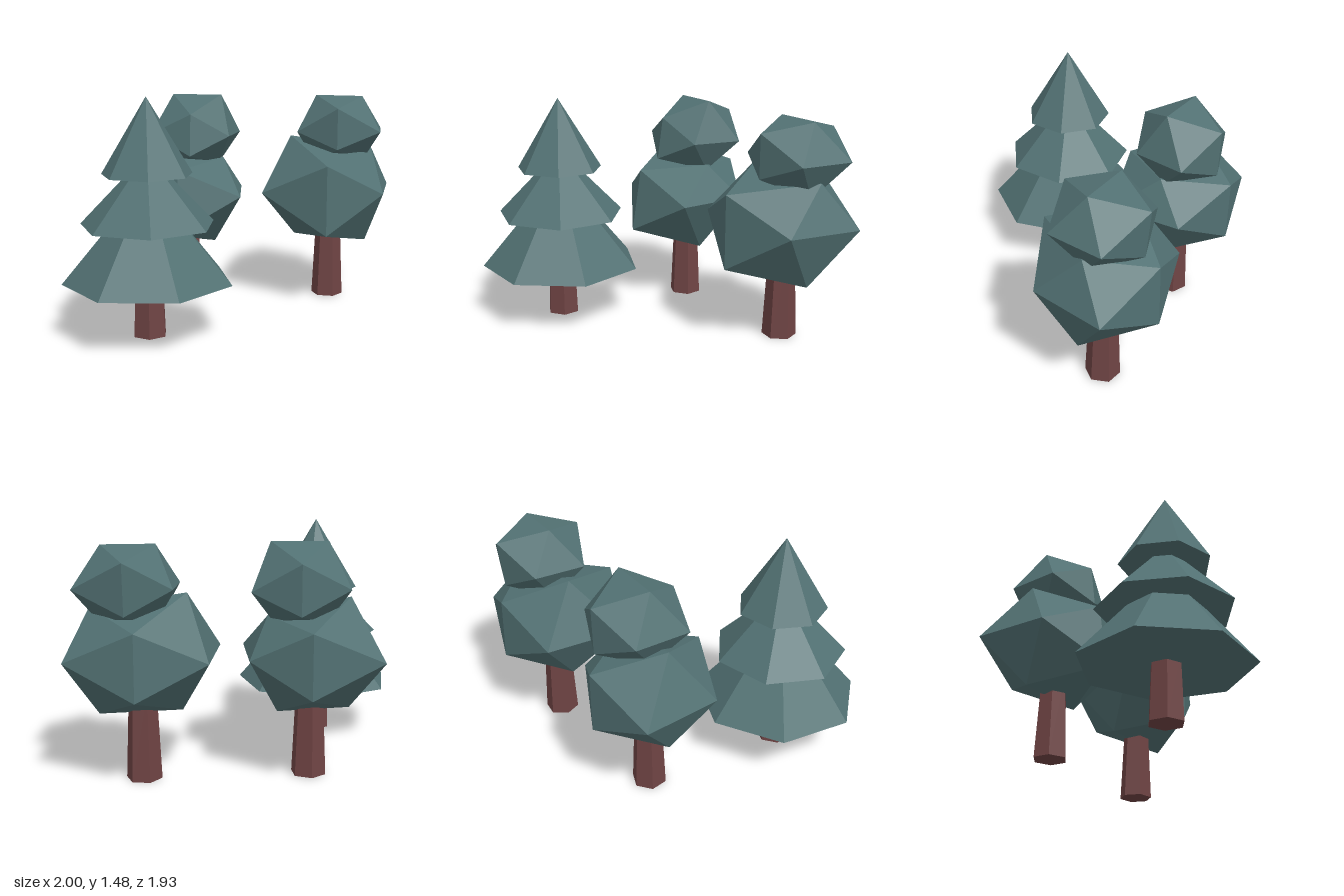
import * as THREE from 'three';
import { ConvexGeometry } from 'three/addons/geometries/ConvexGeometry.js';

const foliage = new THREE.MeshStandardMaterial({ color: 0x527173, flatShading: true });
foliage.name = 'foliage teal';
const bark = new THREE.MeshStandardMaterial({ color: 0x6f4444, flatShading: true });
bark.name = 'bark brown';

function add(parent, name, geometry, material) {
  const mesh = new THREE.Mesh(geometry, material);
  mesh.name = name;
  parent.add(mesh);
  return mesh;
}

// Tapered six-sided trunk standing on the ground
function trunk(parent, x, z, height, topRadius, turn) {
  const mesh = add(parent, 'trunk', new THREE.CylinderGeometry(topRadius, 0.11, height, 6), bark);
  mesh.position.set(x, height / 2, z);
  mesh.rotation.y = THREE.MathUtils.degToRad(turn);
}

// Irregular twelve-cornered, twenty-faced leaf ball
function leafBall(parent, name, corners) {
  const points = corners.map((c) => new THREE.Vector3(...c));
  add(parent, name, new ConvexGeometry(points), foliage);
}

// Conifer: three stacked seven-sided cones
function conifer() {
  const tree = new THREE.Group();
  tree.name = 'conifer';
  const x = -0.497, z = 0.465;
  trunk(tree, x, z, 0.4, 0.095, 10);
  const tiers = [
    ['lowerTier', 0.35, 0.98, 0.533, 185.4],
    ['middleTier', 0.70, 1.14, 0.423, 169],
    ['upperTier', 1.01, 1.48, 0.285, 168],
  ];
  for (const [name, bottom, top, radius, turn] of tiers) {
    const tier = add(tree, name, new THREE.ConeGeometry(radius, top - bottom, 7), foliage);
    tier.position.set(x, (bottom + top) / 2, z);
    tier.rotation.y = THREE.MathUtils.degToRad(turn);
  }
  return tree;
}

// Round tree: a large leaf ball with a smaller one on top
function roundTree(name, x, z, turn, lower, upper) {
  const tree = new THREE.Group();
  tree.name = name;
  trunk(tree, x, z, 0.55, 0.085, turn);
  leafBall(tree, 'lowerCrown', lower);
  leafBall(tree, 'upperCrown', upper);
  return tree;
}

export function createModel() {
  const model = new THREE.Group();
  model.name = 'treeCluster';
  model.add(conifer());

  // Corners in order: top pair, bottom pair, front pair, back pair, left pair, right pair
  model.add(roundTree('rightRoundTree', -0.42, -0.48, 10, [
    [-0.66, 1.10, -0.48], [-0.165, 0.99, -0.50],
    [-0.66, 0.42, -0.48], [-0.225, 0.39, -0.48],
    [-0.42, 0.525, -0.045], [-0.42, 0.945, -0.11],
    [-0.42, 0.56, -0.86], [-0.42, 0.95, -0.86],
    [-0.06, 0.755, -0.705], [-0.012, 0.755, -0.225],
    [-0.845, 0.755, -0.74], [-0.80, 0.755, -0.24],
  ], [
    [-0.52, 1.43, -0.51], [-0.18, 1.43, -0.51],
    [-0.52, 0.95, -0.51], [-0.20, 0.95, -0.51],
    [-0.355, 1.03, -0.21], [-0.355, 1.31, -0.25],
    [-0.355, 1.03, -0.79], [-0.355, 1.33, -0.795],
    [-0.07, 1.155, -0.69], [-0.105, 1.155, -0.353],
    [-0.643, 1.17, -0.68], [-0.643, 1.17, -0.325],
  ]));

  model.add(roundTree('leftRoundTree', 0.578, -0.59, 25, [
    [0.305, 1.14, -0.60], [0.87, 1.06, -0.64],
    [0.337, 0.433, -0.60], [0.84, 0.40, -0.59],
    [0.575, 0.51, -0.155], [0.575, 0.985, -0.155],
    [0.573, 0.57, -0.967], [0.573, 0.965, -0.955],
    [0.998, 0.77, -0.85], [0.952, 0.77, -0.364],
    [0.163, 0.77, -0.845], [0.127, 0.77, -0.315],
  ], [
    [0.48, 1.425, -0.625], [0.80, 1.42, -0.625],
    [0.48, 0.95, -0.625], [0.80, 0.95, -0.625],
    [0.635, 1.07, -0.353], [0.635, 1.35, -0.353],
    [0.632, 1.045, -0.89], [0.632, 1.35, -0.917],
    [0.938, 1.185, -0.81], [0.925, 1.185, -0.45],
    [0.365, 1.185, -0.795], [0.357, 1.18, -0.46],
  ]));
  return model;
}
